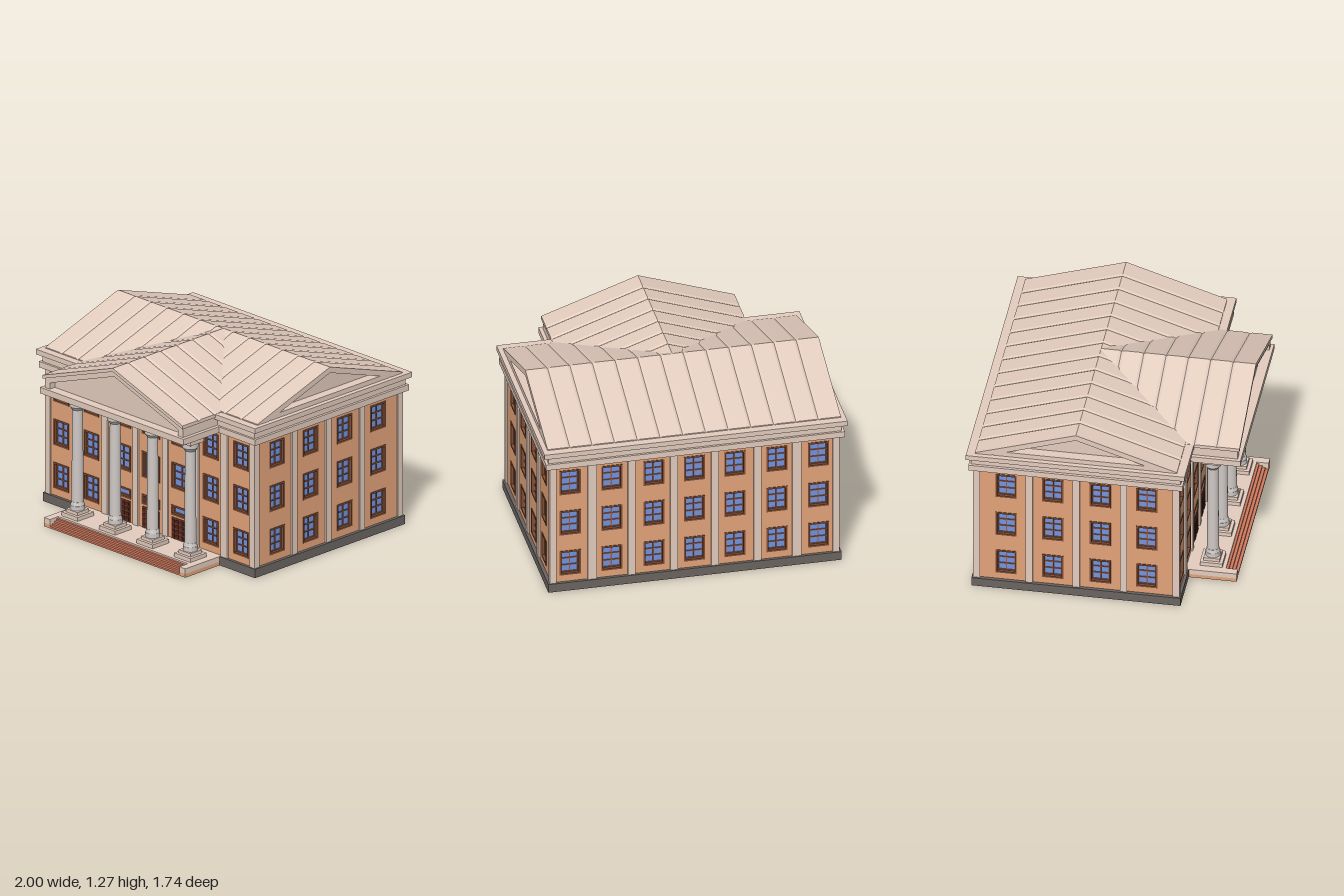
import * as THREE from 'three';

const mat = (name, color) => Object.assign(new THREE.MeshStandardMaterial({ color }), { name });
const M = {
  stone: mat('pale stone', 0xe3ccbe),
  wall: mat('orange plaster', 0xe3a379),
  plinth: mat('dark plinth', 0x6a6460),
  column: mat('grey column', 0xcfc9c5),
  step: mat('red steps', 0xd07a5f),
  door: mat('door wood', 0x743a2a),
  panel: mat('door panel', 0x4e241a),
  frame: mat('window surround', 0x7f4e36),
  sash: mat('window sash', 0x9b5b40),
  glass: mat('blue glass', 0x7394df),
};
const CZ = -0.155; // centre of the main block in z

function add(parent, name, geo, material, x = 0, y = 0, z = 0) {
  const m = new THREE.Mesh(geo, material);
  m.name = name;
  m.position.set(x, y, z);
  parent.add(m);
  return m;
}
// box given by its limits
function block(parent, name, material, x0, x1, y0, y1, z0, z1) {
  return add(parent, name, new THREE.BoxGeometry(x1 - x0, y1 - y0, z1 - z0), material,
    (x0 + x1) / 2, (y0 + y1) / 2, (z0 + z1) / 2);
}
const rect = (C, x0, x1, y0, y1) => new C([[x0, y0], [x1, y0], [x1, y1], [x0, y1]].map(p => new THREE.Vector2(...p)));
const extrude = (shape, depth) => new THREE.ExtrudeGeometry(shape, { depth, bevelEnabled: false });

// rectangular grid of openings
function lattice(w, h, border, bar, cols, rows, depth) {
  const s = rect(THREE.Shape, -w / 2, w / 2, -h / 2, h / 2);
  const pw = (w - 2 * border - (cols - 1) * bar) / cols;
  const ph = (h - 2 * border - (rows - 1) * bar) / rows;
  for (let i = 0; i < cols; i++) for (let j = 0; j < rows; j++) {
    const x = -w / 2 + border + i * (pw + bar), y = -h / 2 + border + j * (ph + bar);
    s.holes.push(rect(THREE.Path, x, x + pw, y, y + ph));
  }
  return extrude(s, depth);
}

function windowUnit(parent, { x, y, w, h, cols, rows }) {
  const g = new THREE.Group();
  g.name = 'window';
  g.position.set(x, y, 0);
  add(g, 'windowSurround', lattice(w, h, 0.012, 0, 1, 1, 0.034), M.frame, 0, 0, -0.03);
  add(g, 'windowSash', lattice(w - 0.022, h - 0.022, 0.007, 0.007, cols, rows, 0.009), M.sash, 0, 0, -0.024);
  add(g, 'windowGlass', new THREE.PlaneGeometry(w - 0.022, h - 0.022), M.glass, 0, 0, -0.022);
  parent.add(g);
}

function doubleDoor(parent, x) {
  const g = new THREE.Group();
  g.name = 'doubleDoor';
  g.position.x = x;
  block(g, 'doorLeaves', M.door, -0.077, 0.077, 0.06, 0.207, -0.01, 0.005);
  for (const cx of [-0.056, -0.021, 0.021, 0.056])
    for (let r = 0; r < 4; r++)
      block(g, 'doorPanel', M.panel, cx - 0.012, cx + 0.012, 0.07 + r * 0.034, 0.094 + r * 0.034, 0.004, 0.009);
  parent.add(g);
}

// one wall with window openings and pilasters [x, width], facing +z
function facade(name, half, wins, pilasters, doors = []) {
  const g = new THREE.Group();
  g.name = name;
  const s = rect(THREE.Shape, -half, half, 0.06, 0.93);
  for (const { x, y, w, h } of wins)
    s.holes.push(rect(THREE.Path, x - w / 2 + 0.002, x + w / 2 - 0.002, y - h / 2 + 0.002, y + h / 2 - 0.002));
  add(g, 'wall', extrude(s, 0.04), M.wall, 0, 0, -0.04);
  wins.forEach(w => windowUnit(g, w));
  doors.forEach(x => doubleDoor(g, x));
  for (const [x, w] of pilasters) block(g, 'pilaster', M.stone, x - w / 2, x + w / 2, 0.06, 0.93, -0.01, 0.012);
  for (const k of [-1, 1]) {
    const c = k * (half - 0.0105);
    block(g, 'cornerPilaster', M.stone, c - 0.0225, c + 0.0225, 0.06, 0.93, -0.01, 0.012);
  }
  return g;
}

// gabled roof skin along z with shallow grooves across it
function gableRoof(z0, z1, half, eave, ridge, thick, seams) {
  const stations = [[z0, 0]];
  for (const s of [...seams].sort((a, b) => a - b)) stations.push([s - 0.016, 0], [s, 0.007], [s + 0.016, 0]);
  stations.push([z1, 0]);
  const rings = stations.map(([z, d]) => [
    [-half, eave - thick, z], [0, ridge - thick, z], [half, eave - thick, z],
    [half, eave - d, z], [0, ridge - d, z], [-half, eave - d, z]]);
  const pos = [];
  const quad = (a, b, c, d) => pos.push(...a, ...b, ...c, ...a, ...c, ...d);
  for (let i = 0; i + 1 < rings.length; i++)
    for (let j = 0; j < 6; j++) {
      const k = (j + 1) % 6, A = rings[i], B = rings[i + 1];
      quad(A[j], A[k], B[k], B[j]);
    }
  const F = rings[rings.length - 1], R = rings[0];
  quad(F[0], F[1], F[4], F[5]);
  quad(F[1], F[2], F[3], F[4]);
  quad(R[5], R[4], R[1], R[0]);
  quad(R[4], R[3], R[2], R[1]);
  const geo = new THREE.BufferGeometry();
  geo.setAttribute('position', new THREE.Float32BufferAttribute(pos, 3));
  geo.computeVertexNormals();
  return geo;
}

function column(x) {
  const g = new THREE.Group();
  g.name = 'column';
  g.position.set(x, 0, 0.664);
  const drum = (name, r0, r1, y0, y1) =>
    add(g, name, new THREE.CylinderGeometry(r1, r0, y1 - y0, 24), M.column, 0, (y0 + y1) / 2, 0);
  block(g, 'basePlinth', M.stone, -0.074, 0.074, 0.06, 0.088, -0.074, 0.074);
  block(g, 'baseBlock', M.stone, -0.053, 0.053, 0.088, 0.11, -0.053, 0.053);
  drum('baseRing', 0.048, 0.048, 0.11, 0.14);
  drum('baseTaper', 0.046, 0.04, 0.14, 0.165);
  drum('shaft', 0.039, 0.035, 0.16, 0.81);
  drum('neck', 0.037, 0.053, 0.8, 0.822);
  drum('capital', 0.053, 0.053, 0.822, 0.86);
  block(g, 'capitalBlock', M.stone, -0.061, 0.061, 0.857, 0.93, -0.061, 0.061);
  return g;
}

export function createModel() {
  const root = new THREE.Group();
  root.name = 'building';
  block(root, 'plinth', M.plinth, -0.968, 0.968, 0, 0.06, -0.838, 0.528);

  // facades
  const rows = [0.198, 0.497, 0.798];
  const win = (x, y, w = 0.139) => ({ x, y, w, h: 0.18, cols: 2, rows: 3 });
  const grid = xs => xs.flatMap(x => rows.map(y => win(x, y)));
  const outer = [-0.82, -0.545, 0.545, 0.82], inner = [-0.267, 0, 0.267];
  const pil = [-1, 1].flatMap(k => [[k * 0.675, 0.062], [k * 0.415, 0.05], [k * 0.135, 0.05]]);
  const frontWins = grid(outer);
  for (const x of inner) {
    frontWins.push(win(x, rows[1], 0.165), win(x, rows[2], 0.165));
    frontWins.push({ x, y: 0.255, w: 0.165, h: 0.07, cols: 1, rows: 1 });
  }
  const front = facade('frontFacade', 0.945, frontWins, pil, inner);
  front.position.z = CZ + 0.663;
  const back = facade('backFacade', 0.945, grid([...outer, ...inner]), pil);
  back.position.z = CZ - 0.663;
  back.rotation.y = Math.PI;
  root.add(front, back);
  const sidePil = [-0.308, 0, 0.308].map(x => [x, 0.046]);
  for (const k of [-1, 1]) {
    const side = facade(k > 0 ? 'leftFacade' : 'rightFacade', 0.663, grid([-0.46, -0.155, 0.155, 0.46]), sidePil);
    side.position.set(k * 0.945, 0, CZ);
    side.rotation.y = k * Math.PI / 2;
    root.add(side);
  }

  // main cornice in three bands
  for (const [n, hx, hz, y0, y1] of [['architrave', 0.986, 0.7, 0.924, 0.965],
    ['frieze', 0.968, 0.685, 0.965, 1.015], ['cornice', 1, 0.715, 1.015, 1.05]])
    block(root, n, M.stone, -hx, hx, y0, y1, CZ - hz, CZ + hz);

  // main roof with recessed gable ends
  const seams = [0.075, 0.225, 0.375, 0.525, 0.673, 0.82].flatMap(s => [s, -s]);
  const roof = add(root, 'mainRoof', gableRoof(-0.968, 0.968, 0.66, 1.057, 1.272, 0.04, seams), M.stone, 0, 0, CZ);
  roof.rotation.y = Math.PI / 2;
  block(root, 'gableSill', M.stone, -0.967, 0.967, 1.045, 1.083, CZ - 0.54, CZ + 0.54);
  const tri = new THREE.Shape([[-0.58, 1.05], [0.58, 1.05], [0, 1.25]].map(p => new THREE.Vector2(...p)));
  const gable = add(root, 'gableWalls', extrude(tri, 1.8), M.stone, -0.9, 0, CZ);
  gable.rotation.y = Math.PI / 2;

  // portico
  const portico = new THREE.Group();
  portico.name = 'portico';
  root.add(portico);
  for (const x of [-0.515, -0.171, 0.171, 0.515]) portico.add(column(x));
  block(portico, 'porticoArchitrave', M.stone, -0.655, 0.655, 0.924, 0.966, 0.5, 0.866);
  for (const k of [-1, 1])
    block(portico, 'porticoSide', M.stone, k * 0.6075 - 0.0225, k * 0.6075 + 0.0225, 0.96, 1.04, 0.45, 0.845);
  const pSeams = [0, 1, 2, 3, 4, 5].map(i => 0.708 - i * 0.146);
  add(portico, 'porticoRoof', gableRoof(CZ, 0.858, 0.638, 1.052, 1.275, 0.024, pSeams), M.stone);
  add(portico, 'rakingCornice', gableRoof(0.4, 0.845, 0.618, 1.035, 1.252, 0.038, []), M.stone);
  const ped = new THREE.Shape([[-0.6, 0.96], [0.6, 0.96], [0.6, 1.02], [0, 1.235], [-0.6, 1.02]]
    .map(p => new THREE.Vector2(...p)));
  add(portico, 'pedimentWall', extrude(ped, 0.35), M.stone, 0, 0, 0.45);

  // hollow porch: floor slab, cheek walls and steps
  block(portico, 'porchFloor', M.stone, -0.591, 0.591, 0.025, 0.061, 0.5, 0.762);
  for (const k of [-1, 1]) {
    const c = k * 0.618;
    block(portico, 'cheekBase', M.wall, c - 0.027, c + 0.027, 0, 0.025, 0.5, 0.84);
    block(portico, 'cheekTop', M.stone, c - 0.027, c + 0.027, 0.025, 0.061, 0.5, 0.84);
  }
  for (let i = 0; i < 4; i++)
    block(portico, 'step', M.step, -0.591, 0.591, i * 0.0125, (i + 1) * 0.0125, 0.8 - i * 0.02, 0.838 - i * 0.02);
  return root;
}
